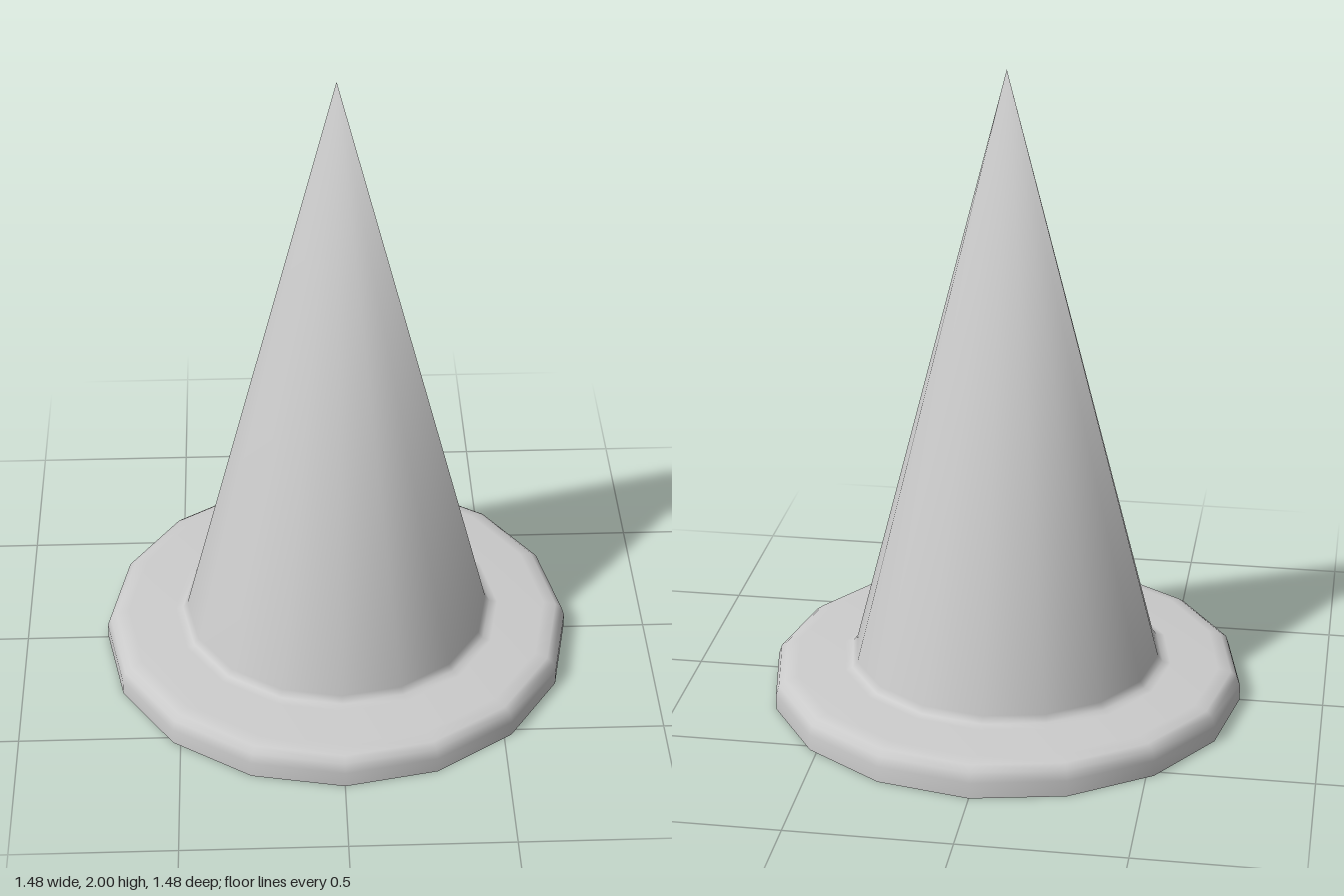
import * as THREE from 'three';
import { mergeVertices } from 'three/addons/utils/BufferGeometryUtils.js';

const SIDES = 16;

// Turned shell with one shared normal per vertex, so the tip and the seam shade smoothly
function turnedShell(profile) {
  const lathe = new THREE.LatheGeometry(profile.map(([r, y]) => new THREE.Vector2(r, y)), SIDES);
  lathe.deleteAttribute('normal');
  lathe.deleteAttribute('uv');
  const geometry = mergeVertices(lathe, 1e-4);
  geometry.computeVertexNormals();
  return geometry;
}

export function createModel() {
  const group = new THREE.Group();
  group.name = 'trafficCone';

  // Hollow shell, open underneath: rim wall, rounded rim edge, flange, fillet, cone
  const profile = [
    [0.74, 0], [0.74, 0.05], [0.73, 0.08], [0.71, 0.095], [0.67, 0.104],
    [0.52, 0.109], [0.495, 0.115], [0.48, 0.135],
    [0, 2],
  ];
  const material = new THREE.MeshStandardMaterial({ color: 0xcccccc, side: THREE.DoubleSide });
  const shell = new THREE.Mesh(turnedShell(profile), material);
  shell.name = 'coneAndFlange';
  group.add(shell);

  return group;
}
